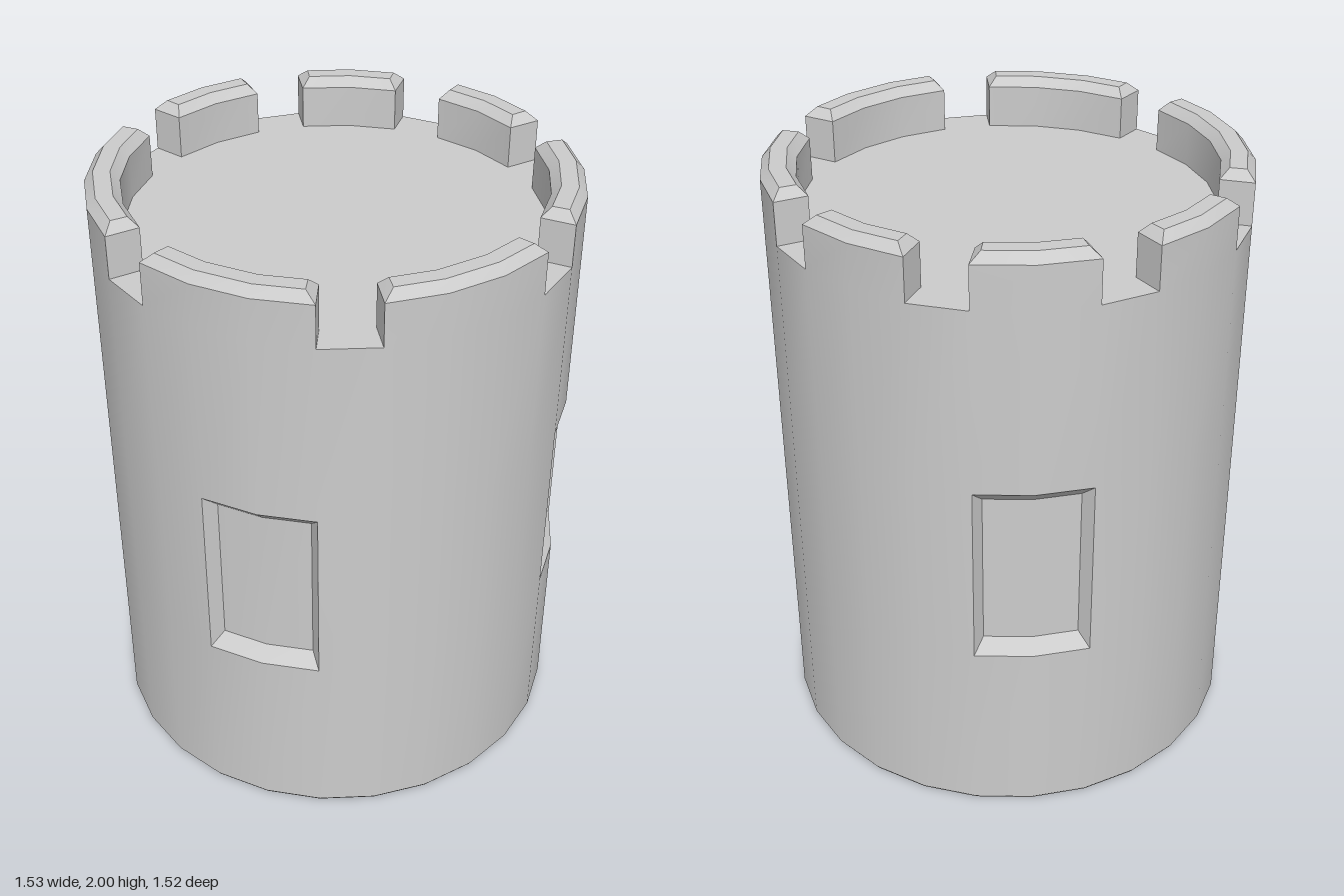
import * as THREE from 'three';
import { toCreasedNormals } from 'three/addons/utils/BufferGeometryUtils.js';

const SIDES = 26, R = 0.766, FLOOR = 1.83, RIM = 1.97;
const material = new THREE.MeshStandardMaterial({ color: 0xcccccc });

// Point on the 26-sided outline; fractional stations lie on the straight side.
function point(station, r, y) {
  const corner = (i) => {
    const a = (i / SIDES) * Math.PI * 2;
    return new THREE.Vector3(r * Math.cos(a), y, r * Math.sin(a));
  };
  const i = Math.floor(station);
  return corner(i).lerp(corner(i + 1), station - i);
}

function quad(out, a, b, c, d) {
  for (const p of [a, b, c, a, c, d]) out.push(p.x, p.y, p.z);
}

// Sweep a profile of [radius, height, end inset] around stations i0..i1.
function sweep(out, profile, i0, i1) {
  const rows = profile.map(([r, y, inset = 0]) => {
    const row = [];
    for (let i = i0; i <= i1; i++) {
      row.push(point(i + (i === i0 ? inset : i === i1 ? -inset : 0), r, y));
    }
    return row;
  });
  for (let k = 0; k < rows.length - 1; k++) {
    for (let j = 0; j < i1 - i0; j++) {
      quad(out, rows[k][j + 1], rows[k][j], rows[k + 1][j], rows[k + 1][j + 1]);
    }
  }
  return rows;
}

// Close both ends of a sweep with the quad through four profile points.
function closeEnds(out, rows) {
  const [a, b, c, d] = rows.map((row) => row[0]);
  quad(out, d, c, b, a);
  quad(out, ...rows.map((row) => row[row.length - 1]));
}

function mesh(name, positions) {
  const geometry = new THREE.BufferGeometry();
  geometry.setAttribute('position', new THREE.Float32BufferAttribute(positions, 3));
  const m = new THREE.Mesh(toCreasedNormals(geometry, 0.5), material);
  m.name = name;
  return m;
}

function disc(name, radius, y, up) {
  const geometry = new THREE.CircleGeometry(radius, SIDES);
  geometry.rotateX(up ? -Math.PI / 2 : Math.PI / 2);
  const m = new THREE.Mesh(geometry, material);
  m.position.y = y;
  m.name = name;
  return m;
}

export function createModel() {
  const tower = new THREE.Group();
  tower.name = 'tower';

  // First and last outline corners of each merlon and window
  const merlons = [[-2, 1], [2, 5], [6, 9], [10, 14], [15, 17], [18, 20], [21, 23]];
  const windows = [[-1, 1], [6, 8], [12, 14], [18, 20]];
  const sill = 0.615, lintel = 1.225;
  const covers = (spans, i) =>
    spans.some(([a, b]) => (i >= a && i < b) || (i - SIDES >= a && i - SIDES < b));

  // Outer wall, left open at the windows and raised at the merlons
  const wall = [];
  for (let i = 0; i < SIDES; i++) {
    sweep(wall, [[R - 0.008, 0], [R, 0.012], [R, sill]], i, i + 1);
    if (!covers(windows, i)) sweep(wall, [[R, sill], [R, lintel]], i, i + 1);
    sweep(wall, [[R, lintel], [R, FLOOR]], i, i + 1);
    if (covers(merlons, i)) sweep(wall, [[R, FLOOR], [R, RIM]], i, i + 1);
  }
  tower.add(mesh('wall', wall));

  // Bevelled merlons around the rim
  const inner = 0.657, bevel = 0.165;
  merlons.forEach(([a, b]) => {
    const out = [];
    const rows = sweep(out, [
      [R, RIM], [0.738, 2, bevel], [0.685, 2, bevel], [inner, RIM], [inner, FLOOR],
    ], a, b);
    closeEnds(out, rows.slice(0, 4));
    const foot = [point(a, R, FLOOR), point(b, R, FLOOR)];
    closeEnds(out, [foot, rows[0], rows[3], rows[4]]);
    tower.add(mesh('merlon', out));
  });

  // Recessed windows with sloping frames
  const back = R - 0.045, jamb = 0.13;
  windows.forEach(([a, b]) => {
    const out = [];
    const rows = sweep(out, [
      [R, sill], [back, sill + 0.043, jamb], [back, lintel - 0.045, jamb], [R, lintel],
    ], a, b);
    closeEnds(out, rows);
    tower.add(mesh('window', out));
  });

  // Roof floor and underside
  tower.add(disc('roofFloor', R, FLOOR, true));
  tower.add(disc('underside', R - 0.008, 0, false));
  return tower;
}
